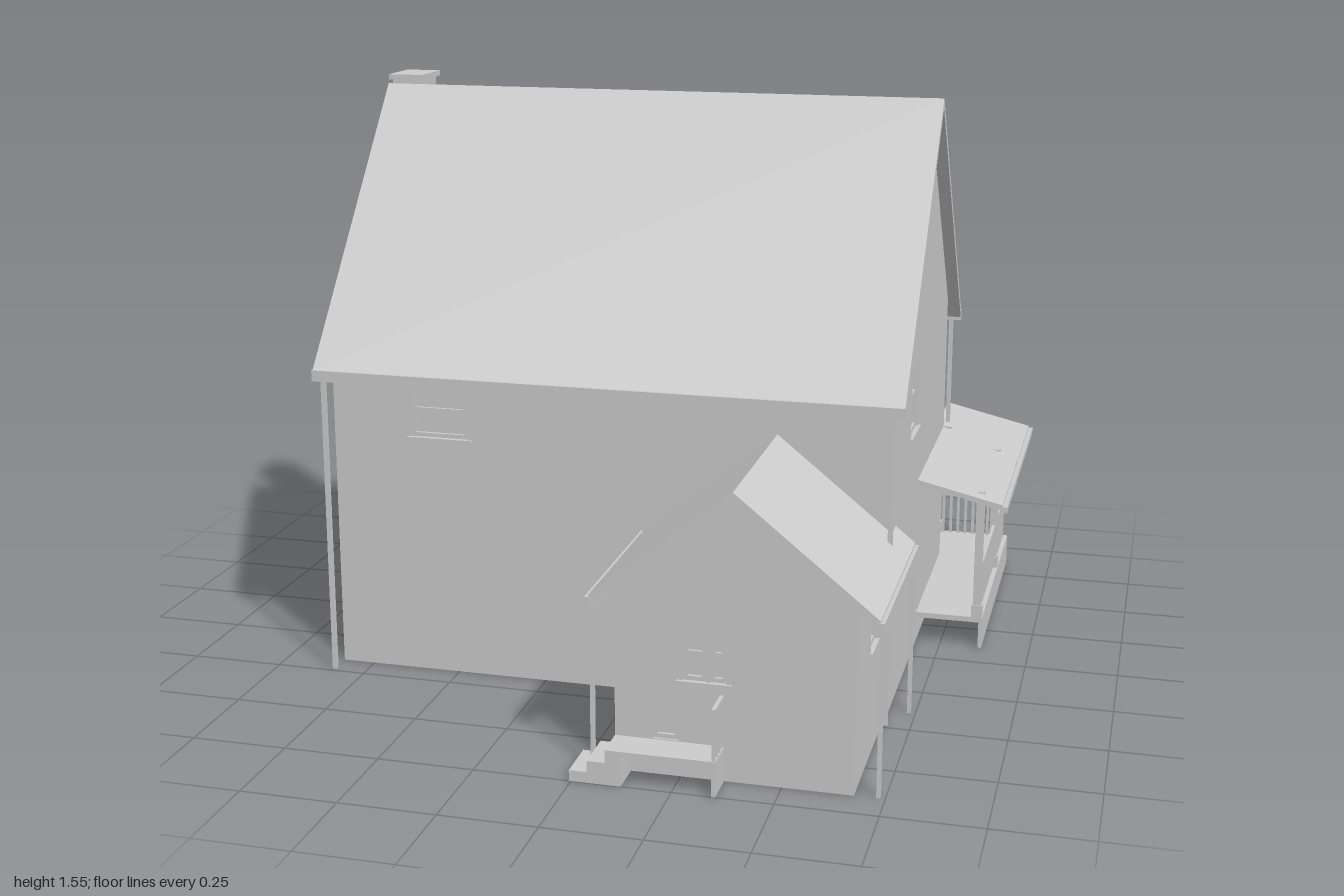
import * as THREE from 'three';

export function createModel() {
  const root = new THREE.Group();
  root.name = 'house';
  const grey = new THREE.MeshStandardMaterial({ color: 0xcccccc });
  grey.name = 'plain grey';

  const add = (name, geometry, parent = root) => {
    const mesh = new THREE.Mesh(geometry, grey);
    mesh.name = name;
    parent.add(mesh);
    return mesh;
  };
  // Box given by its limits on each axis
  const box = (name, x0, x1, y0, y1, z0, z1, parent) =>
    add(name, new THREE.BoxGeometry(x1 - x0, y1 - y0, z1 - z0)
      .translate((x0 + x1) / 2, (y0 + y1) / 2, (z0 + z1) / 2), parent);
  const vectors = pts => pts.map(p => new THREE.Vector2(...p));
  const extrude = (shape, depth) => new THREE.ExtrudeGeometry(shape, { depth, bevelEnabled: false });
  // Prism along z from (x, y) points, or along x from (z, y) points
  const prism = (name, axis, pts, from, to) => {
    const shape = new THREE.Shape(vectors(pts.map(([a, b]) => [axis === 'x' ? -a : a, b])));
    const g = extrude(shape, to - from).translate(0, 0, from);
    if (axis === 'x') g.rotateY(Math.PI / 2);
    return add(name, g);
  };

  // Wall skin with openings, laid over a solid core so panes sit recessed.
  // Local u runs to the viewer's right; openings are [u, y, width, height, kind].
  const facing = { front: 0, back: Math.PI, right: Math.PI / 2, left: -Math.PI / 2 };
  const SKIN = 0.015, FLOOR = 0.087;
  const rect = (u, y, w, h) => [[u - w / 2, y - h / 2], [u + w / 2, y - h / 2], [u + w / 2, y + h / 2], [u - w / 2, y + h / 2]];
  const skin = (name, side, offset, outline, openings = []) => {
    const g = new THREE.Group();
    g.name = name;
    g.rotation.y = facing[side];
    g.translateZ(offset - SKIN);
    root.add(g);
    const wall = new THREE.Shape(vectors(outline));
    for (const [u, y, w, h, kind] of openings) {
      wall.holes.push(new THREE.Path(vectors(rect(u, y, w, h))));
      const sash = new THREE.Shape(vectors(rect(u, y, w, h)));
      sash.holes.push(new THREE.Path(vectors(rect(u, y, w - 0.022, h - 0.022))));
      add(kind + 'Frame', extrude(sash, 0.009), g);
      if (kind === 'window') {
        box('windowMidRail', u - w / 2, u + w / 2, y - 0.005, y + 0.005, 0, 0.007, g);
        box('windowSill', u - w / 2 - 0.014, u + w / 2 + 0.014, y - h / 2 - 0.007, y - h / 2, 0, SKIN + 0.007, g);
      }
    }
    add(name + 'Panel', extrude(wall, SKIN), g);
  };
  const flat = (u0, u1, top) => [[u0, 0], [u1, 0], [u1, top], [u0, top]];
  const peaked = (c, half, eaveY, ridge) => [[c - half, 0], [c + half, 0], [c + half, eaveY], [c, ridge], [c - half, eaveY]];

  // Gabled core and its thin overhanging roof, centred on c
  const gable = (name, axis, c, wall, wallY, eave, eaveY, ridge, t, body, roof) => {
    prism(name + 'Core', axis, [[c - wall, FLOOR], [c + wall, FLOOR], [c + wall, wallY],
      [c, ridge - t / 2], [c - wall, wallY]], ...body);
    prism(name + 'Roof', axis, [[c - eave, eaveY], [c, ridge], [c + eave, eaveY],
      [c + eave, eaveY - t], [c, ridge - t], [c - eave, eaveY - t]], ...roof);
  };

  // Main house
  gable('house', 'x', -0.11, 0.515, 0.905, 0.593, 0.842, 1.545, 0.028, [-0.825, 0.665], [-0.87, 0.714]);
  skin('houseFront', 'front', 0.42, flat(-0.84, 0.68, 0.9), [[-0.54, 0.737, 0.16, 0.15, 'window']]);
  skin('houseBack', 'back', 0.64, flat(-0.68, 0.84, 0.9), [
    [-0.37, 0.735, 0.12, 0.14, 'window'], [0.08, 0.735, 0.13, 0.14, 'window'],
    [0.55, 0.735, 0.16, 0.14, 'window'], [0.08, 0.245, 0.11, 0.3, 'door']]);
  skin('houseRight', 'right', 0.68, peaked(0.11, 0.53, 0.9, 1.531), [[-0.042, 0.762, 0.132, 0.2, 'window']]);
  skin('houseLeft', 'left', 0.84, peaked(-0.11, 0.53, 0.9, 1.531), [
    [0.13, 0.762, 0.132, 0.2, 'window'], [-0.47, 0.762, 0.11, 0.2, 'window']]);
  for (const [z0, z1] of [[0.47, 0.49], [-0.714, -0.694]]) box('houseGutter', -0.87, 0.714, 0.815, 0.845, z0, z1);
  for (const x of [-0.84, 0.685]) {
    box('frontDownspout', x - 0.006, x + 0.006, 0, 0.82, 0.476, 0.488);
    box('backDownspout', x - 0.006, x + 0.006, 0.46, 0.82, -0.708, -0.696);
  }

  // Front wing
  gable('wing', 'z', 0.38, 0.28, 0.499, 0.352, 0.455, 0.738, 0.024, [0.41, 0.893], [0.355, 0.932]);
  skin('wingFront', 'front', 0.908, peaked(0.38, 0.295, 0.49, 0.726), [
    [0.212, 0.245, 0.065, 0.305, 'door'], [0.283, 0.32, 0.058, 0.14, 'window'], [0.342, 0.32, 0.04, 0.14, 'window']]);
  skin('wingRight', 'right', 0.675, flat(-0.908, -0.405, 0.49), [[-0.648, 0.335, 0.097, 0.107, 'window']]);
  skin('wingLeft', 'left', -0.085, flat(0.405, 0.908, 0.49));
  for (const [x0, x1] of [[0.018, 0.036], [0.724, 0.742]]) {
    box('wingGutter', x0, x1, 0.415, 0.45, 0.355, 0.935);
    const x = (x0 + x1) / 2;
    box('wingDownspout', x - 0.005, x + 0.005, 0, 0.42, 0.895, 0.907);
  }
  box('wingDownspout', 0.728, 0.738, 0, 0.42, 0.382, 0.394);

  // Chimney
  box('chimneyStack', -0.922, -0.838, 0, 1.545, -0.4, -0.267);
  box('chimneyCap', -0.93, -0.828, 1.54, 1.555, -0.407, -0.258);

  // Wraparound porch: thin floor with hollow skirt
  box('backPorchFloor', -0.82, 0.867, 0.075, 0.09, -0.86, -0.64);
  box('sidePorchFloor', 0.68, 0.867, 0.075, 0.09, -0.64, -0.11);
  box('backSkirt', -0.82, 0.867, 0, 0.075, -0.86, -0.85);
  box('sideSkirt', 0.857, 0.867, 0, 0.075, -0.85, -0.11);
  box('skirtEnd', -0.82, -0.81, 0, 0.075, -0.85, -0.64);
  // Porch roofs
  prism('backPorchRoof', 'x', [[-0.63, 0.497], [-0.915, 0.437], [-0.915, 0.422], [-0.63, 0.482]], -0.862, 0.704);
  box('backPorchGutter', -0.862, 0.704, 0.418, 0.434, -0.93, -0.91);
  prism('sidePorchRoof', 'z', [[0.66, 0.5], [0.915, 0.44], [0.915, 0.425], [0.66, 0.485]], -0.91, -0.065);
  box('sidePorchGutter', 0.91, 0.928, 0.418, 0.434, -0.915, -0.065);
  // Porch posts with thicker feet
  const post = (x, z, top) => {
    box('porchPost', x - 0.011, x + 0.011, 0.09, top, z - 0.011, z + 0.011);
    box('postFoot', x - 0.015, x + 0.015, 0.09, 0.125, z - 0.015, z + 0.015);
  };
  for (const x of [-0.8, -0.375, 0.24, 0.645]) post(x, -0.85, 0.453);
  for (const z of [-0.56, -0.125]) post(0.85, z, 0.458);

  // Railing between two points, with evenly spaced balusters
  const railing = (x0, z0, x1, z1) => {
    const w = 0.005, n = Math.round(Math.hypot(x1 - x0, z1 - z0) / 0.023);
    box('handrail', x0 - w, x1 + w, 0.212, 0.222, z0 - w, z1 + w);
    for (let i = 0; i <= n; i++) {
      const x = x0 + (x1 - x0) * i / n, z = z0 + (z1 - z0) * i / n;
      box('baluster', x - 0.004, x + 0.004, 0.09, 0.215, z - 0.004, z + 0.004);
    }
  };
  railing(-0.8, -0.85, -0.2, -0.85);
  railing(0.04, -0.85, 0.85, -0.85);
  railing(0.85, -0.85, 0.85, -0.125);
  railing(-0.812, -0.85, -0.812, -0.65);
  railing(0.352, 0.915, 0.352, 0.993);

  // Back steps, descending away from the porch
  [[-0.91, -0.86, 0.09], [-0.955, -0.91, 0.057], [-1, -0.955, 0.028]].forEach(([z0, z1, y]) =>
    box('backStep', -0.197, 0.037, 0, y, z0, z1));
  // Wing landing and its sideways steps
  box('wingLanding', 0.085, 0.358, 0.075, 0.09, 0.9, 1);
  box('landingSide', 0.348, 0.358, 0, 0.075, 0.9, 1);
  [[0.085, 0.125, 0.088], [0.04, 0.085, 0.057], [-0.005, 0.04, 0.028]].forEach(([x0, x1, y]) =>
    box('wingStep', x0, x1, 0, y, 0.88, 1));

  return root;
}
